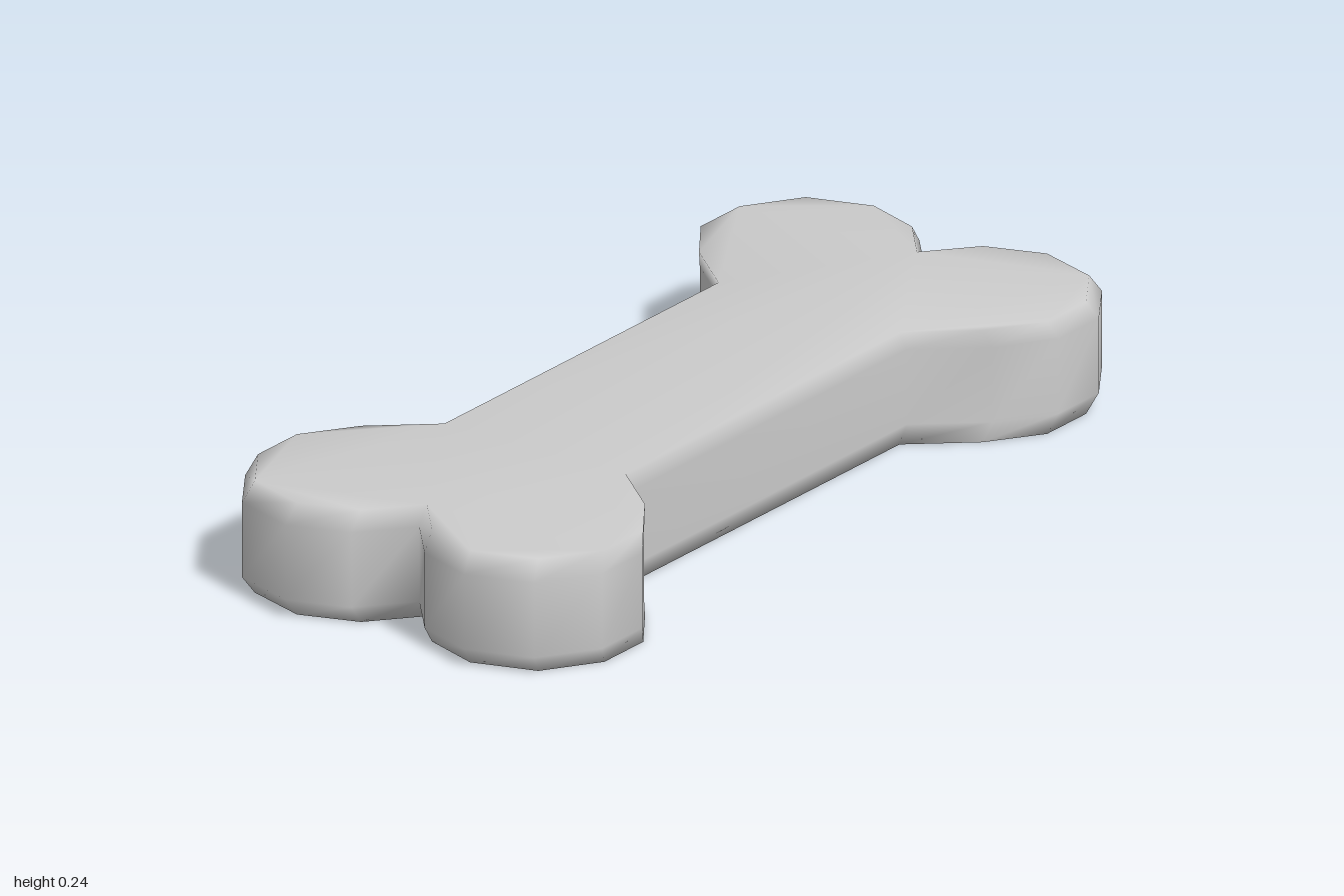
import * as THREE from 'three';

// One lobe of the outline, from the shaft corner round to the notch
const LOBE = [[0.23, 0.475], [0.36, 0.585], [0.44, 0.70], [0.44, 0.835], [0.36, 0.955], [0.22, 1], [0.09, 0.955], [0, 0.85]];

// Whole outline, counter-clockwise from above: mirror the lobe, then turn the end half round
function boneOutline() {
  const mirrored = LOBE.slice(0, -1).reverse().map(([x, v]) => [-x, v]);
  const end = [...LOBE, ...mirrored];
  return [...end, ...end.map(([x, v]) => [-x, -v])].map(([x, v]) => new THREE.Vector2(x, v));
}

// Stack of scaled outlines, joined by walls and closed by flat caps
function slab(outline, layers) {
  const n = outline.length;
  const positions = [];
  const index = [];
  for (const [y, scale] of layers) {
    for (const p of outline) positions.push(p.x * scale, y, -p.y * scale);
  }
  for (let k = 0; k < layers.length - 1; k++) {
    for (let i = 0; i < n; i++) {
      const a = k * n + i;
      const b = k * n + (i + 1) % n;
      index.push(a, b, b + n, a, b + n, a + n);
    }
  }
  const top = (layers.length - 1) * n;
  for (const [a, b, c] of THREE.ShapeUtils.triangulateShape(outline, [])) {
    index.push(top + a, top + b, top + c, a, c, b);
  }
  const geometry = new THREE.BufferGeometry();
  geometry.setAttribute('position', new THREE.Float32BufferAttribute(positions, 3));
  geometry.setIndex(index);
  geometry.computeVertexNormals();
  return geometry;
}

export function createModel() {
  const group = new THREE.Group();
  group.name = 'bone';
  // Straight sides with a narrow bevel above and below
  const layers = [[0, 0.97], [0.04, 1], [0.2, 1], [0.24, 0.97]];
  const body = new THREE.Mesh(slab(boneOutline(), layers), new THREE.MeshStandardMaterial({ color: 0xcccccc }));
  body.name = 'boneBody';
  group.add(body);
  return group;
}
